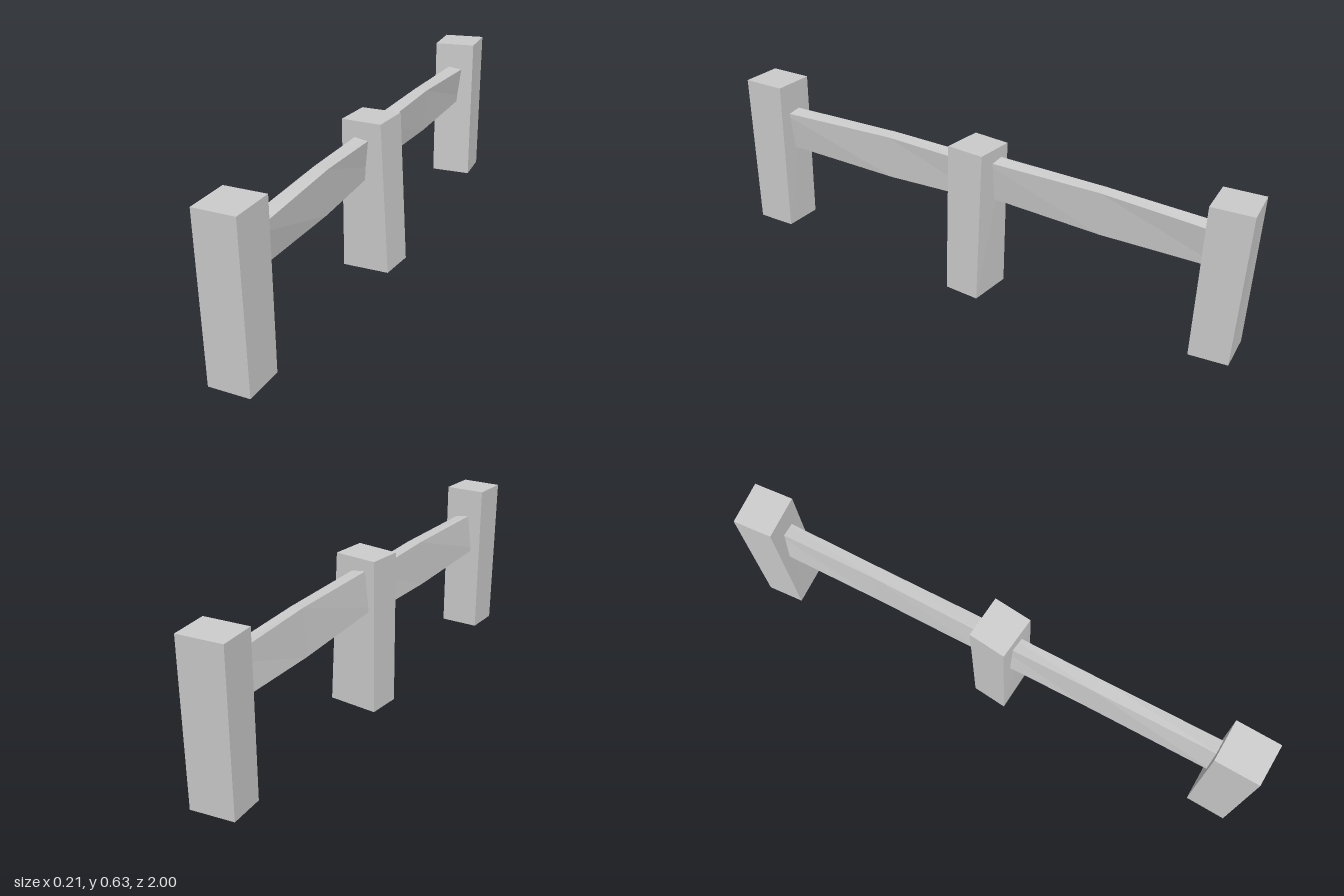
import * as THREE from 'three';

const material = new THREE.MeshStandardMaterial({
  color: 0xcccccc, flatShading: true, side: THREE.DoubleSide,
});

// Skins a run of four-cornered rings; optionally closes the last one.
function loft(name, rings, capEnd) {
  const pos = [];
  const quad = (a, b, c, d) => pos.push(...a, ...b, ...c, ...a, ...c, ...d);
  for (let r = 0; r + 1 < rings.length; r++) {
    for (let i = 0; i < 4; i++) {
      const j = (i + 1) % 4;
      quad(rings[r][i], rings[r][j], rings[r + 1][j], rings[r + 1][i]);
    }
  }
  if (capEnd) quad(...rings[rings.length - 1]);
  const geometry = new THREE.BufferGeometry();
  geometry.setAttribute('position', new THREE.Float32BufferAttribute(pos, 3));
  geometry.computeVertexNormals();
  const mesh = new THREE.Mesh(geometry, material);
  mesh.name = name;
  return mesh;
}

// Rail cross-section: a rectangle rolled clockwise about the rail's length.
function railRing([z, x, y, width, height, roll]) {
  const c = Math.cos(roll), s = Math.sin(roll);
  return [[-1, -1], [1, -1], [1, 1], [-1, 1]].map(([u, v]) => {
    const dx = u * width / 2, dy = v * height / 2;
    return [x + dx * c + dy * s, y - dx * s + dy * c, z];
  });
}

export function createModel() {
  const group = new THREE.Group();
  group.name = 'fence';

  // Hand-hewn posts, open underneath: bottom ring, then top ring
  const posts = {
    frontPost: [
      [[-0.094, 0.034, 0.985], [0.057, 0.038, 0.993], [0.062, 0.04, 0.842], [-0.088, 0.036, 0.836]],
      [[-0.105, 0.623, 0.992], [0.048, 0.627, 1.0], [0.054, 0.629, 0.837], [-0.1, 0.625, 0.83]],
    ],
    middlePost: [
      [[-0.09, 0.002, 0.07], [0.092, 0.013, 0.085], [0.106, 0.014, -0.05], [-0.076, 0.0, -0.062]],
      [[-0.093, 0.572, 0.068], [0.063, 0.58, 0.087], [0.077, 0.58, -0.055], [-0.078, 0.572, -0.07]],
    ],
    backPost: [
      [[-0.095, 0.036, -0.834], [0.062, 0.038, -0.842], [0.052, 0.038, -0.98], [-0.104, 0.036, -0.972]],
      [[-0.098, 0.601, -0.844], [0.061, 0.607, -0.854], [0.05, 0.605, -1.0], [-0.108, 0.599, -0.988]],
    ],
  };
  for (const [name, rings] of Object.entries(posts)) group.add(loft(name, rings, true));

  // Slightly twisted rails buried in the posts: z, x, y, width, height, roll
  const rails = {
    frontRail: [
      [-0.04, -0.02, 0.438, 0.056, 0.143, 0.1],
      [0.38, -0.02, 0.437, 0.05, 0.167, 0.05],
      [0.88, -0.022, 0.439, 0.054, 0.146, 0.12],
    ],
    backRail: [
      [-0.92, -0.021, 0.43, 0.056, 0.138, 0.12],
      [-0.47, -0.02, 0.441, 0.046, 0.166, 0.07],
      [-0.02, -0.022, 0.457, 0.054, 0.146, 0.1],
    ],
  };
  for (const [name, sections] of Object.entries(rails)) {
    group.add(loft(name, sections.map(railRing), false));
  }
  return group;
}
